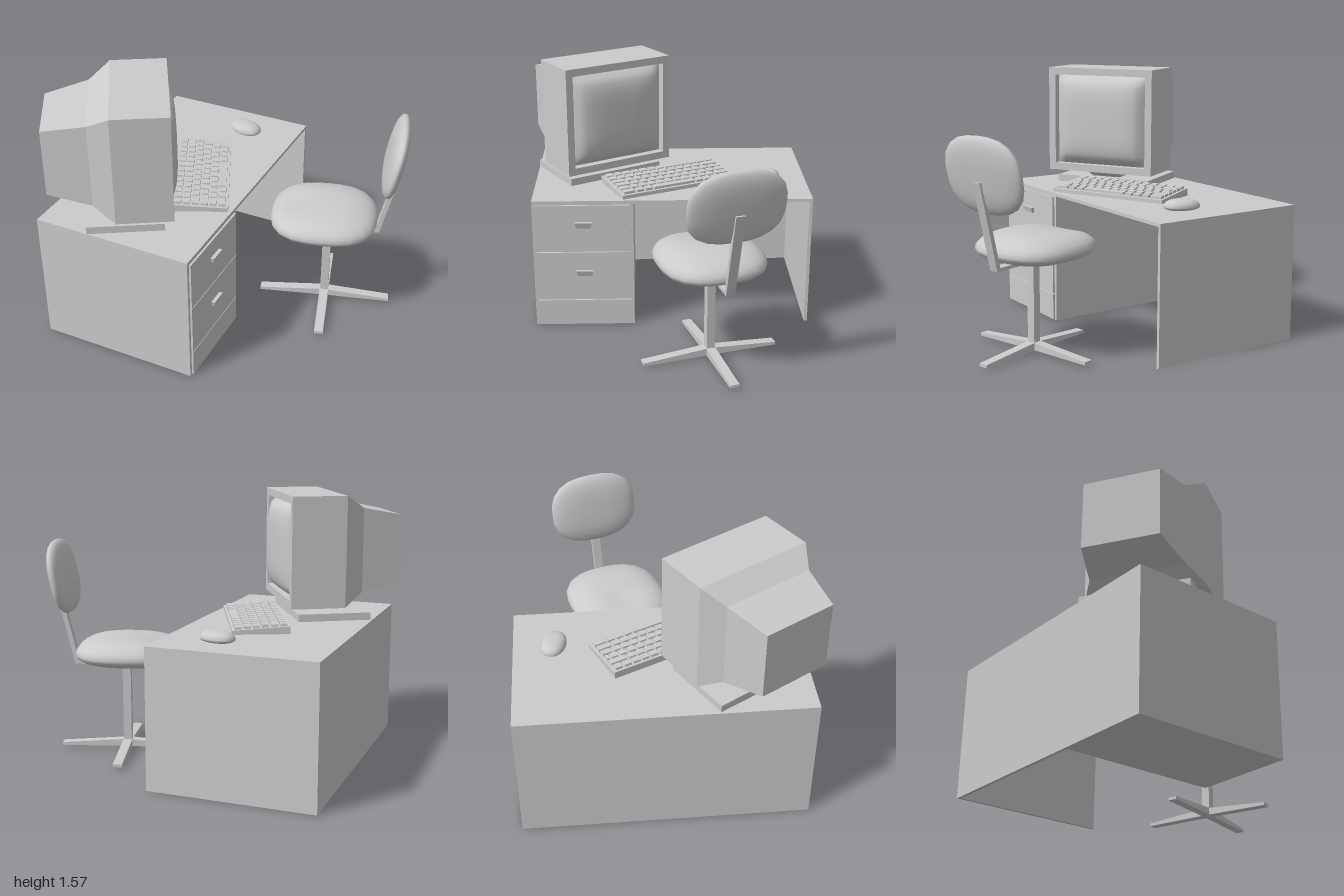
import * as THREE from 'three';
import { mergeVertices } from 'three/addons/utils/BufferGeometryUtils.js';

const grey = new THREE.MeshStandardMaterial({ color: 0xcccccc });
const flat = new THREE.MeshStandardMaterial({ color: 0xcccccc, flatShading: true });

function add(parent, name, geo, mat = flat, x = 0, y = 0, z = 0) {
  const mesh = new THREE.Mesh(geo, mat);
  mesh.name = name;
  mesh.position.set(x, y, z);
  parent.add(mesh);
  return mesh;
}

function group(parent, name, x, z, angle) {
  const g = new THREE.Group();
  g.name = name;
  g.position.set(x, 0, z);
  g.rotation.y = angle;
  parent.add(g);
  return g;
}

// Box given by its limits
function block(parent, name, x0, x1, y0, y1, z0, z1) {
  return add(parent, name, new THREE.BoxGeometry(x1 - x0, y1 - y0, z1 - z0), flat,
    (x0 + x1) / 2, (y0 + y1) / 2, (z0 + z1) / 2);
}

// Move every vertex by a rule
function reshape(geo, rule) {
  const p = geo.attributes.position, v = new THREE.Vector3();
  for (let i = 0; i < p.count; i++) {
    rule(v.fromBufferAttribute(p, i));
    p.setXYZ(i, v.x, v.y, v.z);
  }
  geo.computeVertexNormals();
  return geo;
}

// Rounded-square pad, thin along y
function cushion(a, top, bottom, c, power, extra = () => {}) {
  let geo = new THREE.SphereGeometry(1, 24, 14);
  geo.deleteAttribute('uv');
  geo.deleteAttribute('normal');
  geo = mergeVertices(geo, 1e-4);
  return reshape(geo, v => {
    const r = Math.hypot(v.x, v.z);
    if (r > 1e-4) {
      const n = (Math.abs(v.x) ** power + Math.abs(v.z) ** power) ** (1 / power);
      const k = r ** 0.65 / n;
      v.x *= k * a;
      v.z *= k * c;
    }
    v.y *= v.y > 0 ? top : bottom;
    extra(v);
  });
}

// Rectangular rings [x, halfWidth, yLow, yHigh] joined in order, last ring capped
function loftRings(rings) {
  const pos = [], idx = [];
  rings.forEach(([x, h, y0, y1], i) => {
    pos.push(x, y1, -h, x, y1, h, x, y0, h, x, y0, -h);
    if (!i) return;
    for (let k = 0; k < 4; k++) {
      const a = (i - 1) * 4 + k, a2 = (i - 1) * 4 + (k + 1) % 4;
      idx.push(a, a + 4, a2 + 4, a, a2 + 4, a2);
    }
  });
  const e = (rings.length - 1) * 4;
  idx.push(e, e + 2, e + 1, e, e + 3, e + 2);
  let geo = new THREE.BufferGeometry();
  geo.setAttribute('position', new THREE.Float32BufferAttribute(pos, 3));
  geo.setIndex(idx);
  geo = geo.toNonIndexed();
  geo.computeVertexNormals();
  return geo;
}

function buildDesk(root) {
  const desk = group(root, 'desk', 0, 0, 0);
  block(desk, 'desktop', -0.88, 0.1, 0.8, 0.82, -0.86, 0.83);
  block(desk, 'backPanel', -0.88, -0.86, 0, 0.8, -0.86, 0.22);
  block(desk, 'sidePanel', -0.86, 0.1, 0, 0.8, -0.86, -0.84);
  block(desk, 'drawerCabinet', -0.88, 0.1, 0, 0.8, 0.22, 0.83);
  for (const [y0, y1] of [[0.495, 0.795], [0.175, 0.49], [0.005, 0.17]]) {
    block(desk, 'drawerFront', 0.1, 0.112, y0, y1, 0.24, 0.81);
  }
  // Handles narrow towards the bottom
  for (const y of [0.672, 0.355]) {
    const handle = reshape(new THREE.BoxGeometry(0.023, 0.035, 0.105), v => {
      if (v.y < 0) {
        v.z *= 0.82;
        if (v.x > 0) v.x -= 0.01;
      }
    });
    add(desk, 'drawerHandle', handle, flat, 0.123, y, 0.52);
  }
}

function buildMonitor(root) {
  const m = group(root, 'monitor', -0.275, 0.3, 0.535);
  add(m, 'monitorCasing', loftRings([
    [-0.05, 0.315, 0.95, 1.525],
    [0, 0.315, 0.95, 1.525],
    [0, 0.36, 0.905, 1.57],
    [-0.33, 0.36, 0.905, 1.57],
    [-0.455, 0.28, 0.985, 1.49],
    [-0.71, 0.223, 1.035, 1.44],
  ]));
  // Bulging glass
  const glass = new THREE.PlaneGeometry(0.63, 0.575, 16, 16).rotateY(Math.PI / 2);
  reshape(glass, v => {
    const a = Math.min(1, Math.abs(v.z) / 0.315), b = Math.min(1, Math.abs(v.y) / 0.2875);
    v.x = -0.05 + 0.085 * Math.sqrt(Math.max(0, (1 - a ** 4) * (1 - b ** 4)));
  });
  add(m, 'screen', glass, grey, 0, 1.2375, 0);
  const neck = reshape(new THREE.BoxGeometry(0.26, 0.04, 0.26), v => {
    if (v.y < 0) { v.x *= 0.72; v.z *= 0.72; }
  });
  add(m, 'monitorNeck', neck, flat, -0.2, 0.885, 0);
  block(m, 'monitorBase', -0.5, -0.055, 0.82, 0.865, -0.32, 0.32);
}

function buildKeyboard(root) {
  const k = group(root, 'keyboard', -0.23, 0, 0.43);
  const W = 0.33, L = 0.77, slope = 0.022 / W;
  const body = reshape(new THREE.BoxGeometry(W, 0.034, L), v => {
    if (v.y > 0) v.y -= v.x * slope;
  });
  add(k, 'keyboardBody', body, flat, 0, 0.837, 0);
  // Relative key widths, back row to front row
  const plain = Array(13).fill(1);
  const rows = [
    plain,
    [...plain.slice(2), 2],
    [1.5, ...plain.slice(2), 0.5],
    [1.8, ...plain.slice(3), 1.2],
    [1.3, ...plain.slice(3), 1.7],
    [1.5, 1, 1, 5, 1, 1, 1, 1.5],
  ];
  const pitch = (W - 0.02) / rows.length, unit = (L - 0.02) / 13, gap = 0.01;
  rows.forEach((row, r) => {
    const x = -W / 2 + 0.01 + (r + 0.5) * pitch;
    let z = L / 2 - 0.01;
    for (const w of row) {
      const len = w * unit;
      const cap = reshape(new THREE.BoxGeometry(pitch - gap, 0.018, len - gap), v => {
        if (v.y > 0) { v.x *= 0.92; v.z -= Math.sign(v.z) * 0.002; }
      });
      const key = add(k, 'key', cap, flat, x, 0.86 - x * slope, z - len / 2);
      key.rotation.z = -Math.atan(slope);
      z -= len;
    }
  });
}

function buildMouse(root) {
  const m = group(root, 'mouse', -0.23, -0.62, -0.25);
  add(m, 'mouseBody', cushion(0.108, 0.043, 0.023, 0.073, 2.2), grey, 0, 0.843, 0);
}

function buildChair(root) {
  const c = group(root, 'chair', 0.52, -0.22, 0.294);
  // Four tapering feet
  for (let i = 0; i < 4; i++) {
    const foot = reshape(new THREE.BoxGeometry(0.41, 0.045, 0.055).translate(0.205, 0.0425, 0), v => {
      if (v.x > 0.2) v.y = v.y > 0.04 ? 0.034 : 0.016;
    });
    add(c, 'foot', foot).rotation.y = i * Math.PI / 2;
  }
  block(c, 'column', -0.025, 0.025, 0.05, 0.56, -0.025, 0.025);
  block(c, 'backBracket', -0.025, 0.315, 0.54, 0.56, -0.027, 0.027);
  // Upright leans backwards
  const upright = reshape(new THREE.BoxGeometry(0.028, 0.51, 0.054), v => { v.x += v.y * 0.24; });
  add(c, 'backUpright', upright, flat, 0.362, 0.795, 0);
  // Seat dips slightly in the middle of its front edge
  const seat = cushion(0.325, 0.1, 0.072, 0.31, 2.7, v => {
    if (v.y > 0) v.y -= 0.025 * Math.exp(-((v.x + 0.2) ** 2 + v.z ** 2) / 0.02) * v.y / 0.1;
  });
  add(c, 'seat', seat, grey, -0.025, 0.622, 0);
  const rest = cushion(0.222, 0.05, 0.055, 0.283, 2.6).rotateZ(-Math.PI / 2);
  add(c, 'backrest', rest, grey, 0.378, 1.08, 0).rotation.z = -0.2;
}

export function createModel() {
  const root = new THREE.Group();
  root.name = 'computerDeskWithChair';
  buildDesk(root);
  buildMonitor(root);
  buildKeyboard(root);
  buildMouse(root);
  buildChair(root);
  return root;
}
